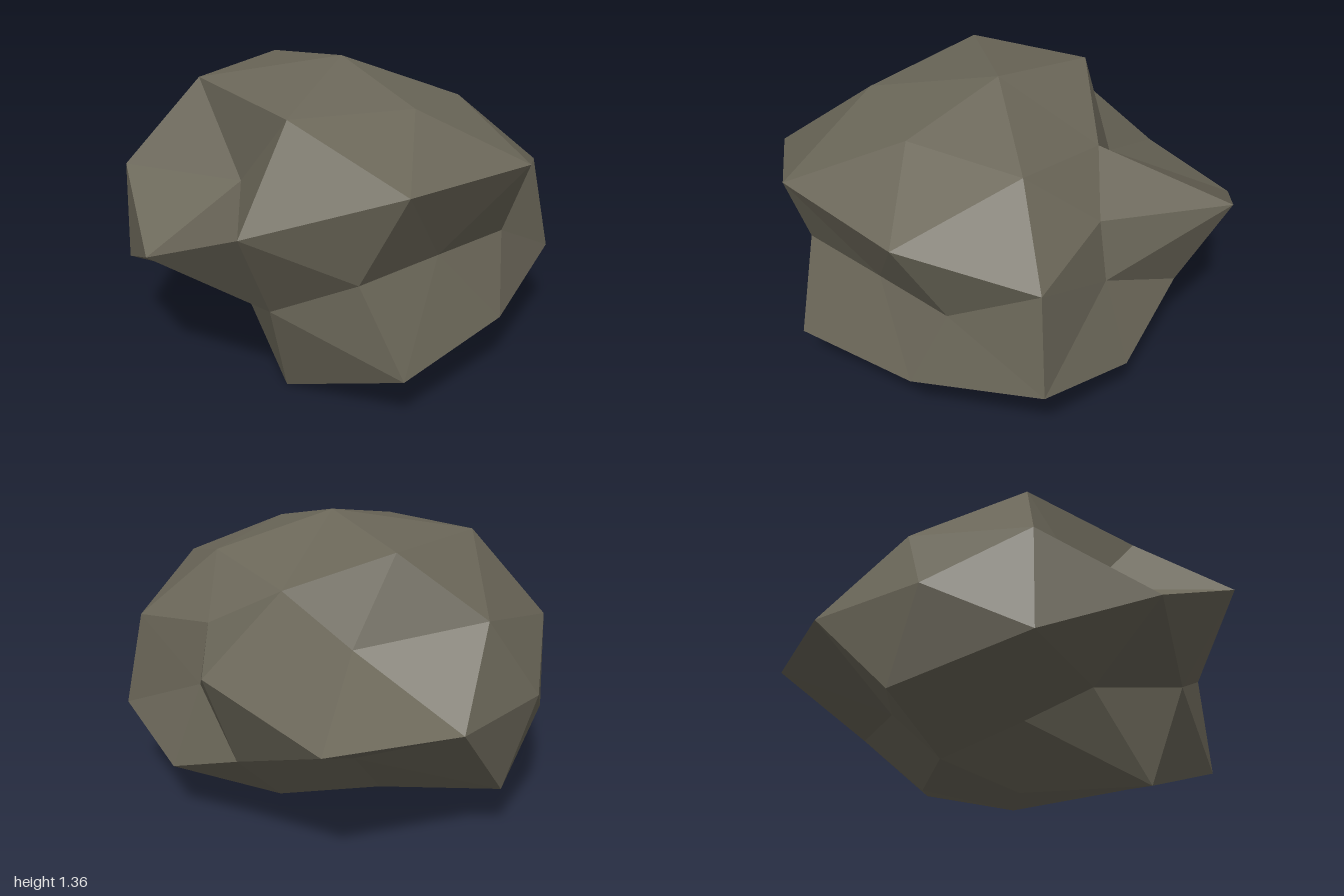
import * as THREE from 'three';

// Radius of each boulder corner, grouped by its direction family (rounded |x|,|y|,|z|).
// Order inside a family: x sign flips fastest, then y, then z (+ before -).
const RADII = {
  '10,0,0': [0.70, 1.08],
  '0,10,0': [1.014, 0.806],
  '0,0,10': [1.03, 0.69],
  '5,9,0': [0.99, 1.05, 0.83, 0.82],
  '0,5,9': [0.646, 0.66, 0.75, 0.987],
  '9,0,5': [0.875, 1.034, 0.78, 1.14],
  '3,8,5': [1.03, 1.10, 1.08, 0.64, 0.92, 0.78, 0.87, 0.86],
  '5,3,8': [1.13, 1.05, 0.84, 1.06, 0.965, 1.123, 1.063, 0.89],
  '8,5,3': [1.135, 1.0, 1.125, 1.11, 1.09, 0.655, 0.98, 0.70],
};

function radiusAt(dir) {
  const digits = dir.toArray().map((c) => Math.round(Math.abs(c) * 10));
  let index = 0, bit = 1;
  dir.toArray().forEach((c, i) => {
    if (digits[i] === 0) return; // zero components carry no sign
    if (c < 0) index += bit;
    bit *= 2;
  });
  return RADII[digits.join(',')][index];
}

export function createModel() {
  const group = new THREE.Group();
  group.name = 'rock';

  const stone = new THREE.MeshStandardMaterial({ color: 0x6a6658 });
  stone.name = 'stone';

  // Faceted boulder: a once-divided icosahedron pushed in and out, then flattened
  const geometry = new THREE.IcosahedronGeometry(1, 1);
  const pos = geometry.attributes.position;
  const v = new THREE.Vector3();
  for (let i = 0; i < pos.count; i++) {
    v.fromBufferAttribute(pos, i).normalize();
    v.multiplyScalar(radiusAt(v));
    pos.setXYZ(i, 0.08 + v.x, 0.632 + v.y * 0.72, -0.06 + v.z);
  }
  geometry.computeVertexNormals(); // unshared corners give flat facets

  const boulder = new THREE.Mesh(geometry, stone);
  boulder.name = 'boulder';
  group.add(boulder);
  return group;
}
